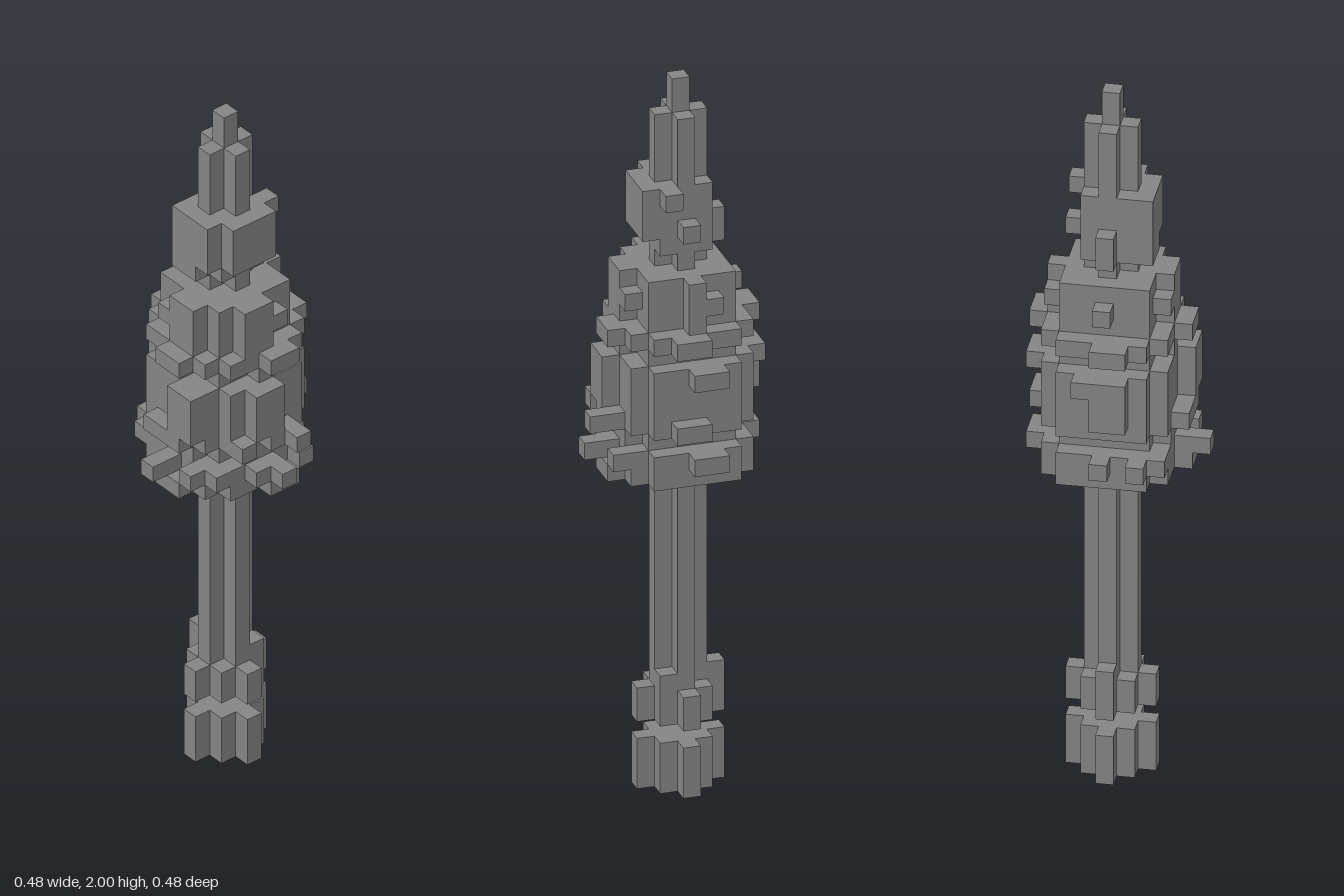
import * as THREE from 'three';

const U = 2 / 42; // cube size

export function createModel() {
  const model = new THREE.Group();
  model.name = 'cubeTorch';
  const stone = new THREE.MeshStandardMaterial({ color: 0x858585 });
  stone.name = 'stoneGrey';

  const filled = new Map(); // cell key -> part name
  const key = (x, y, z) => `${x},${y},${z}`;
  const add = (part, x, y, z) => filled.set(key(x, y, z), part);

  // Round layers: radius squared r2, limited to x0..x1 and z0..z1, plus single extra cells
  function disc(part, from, to, r2, [x0, x1, z0, z1] = [-5, 5, -5, 5], extra = []) {
    for (let y = from; y <= to; y++) {
      for (let x = x0; x <= x1; x++)
        for (let z = z0; z <= z1; z++) if (x * x + z * z <= r2) add(part, x, y, z);
      for (const [x, z] of extra) add(part, x, y, z);
    }
  }

  // Foot and collar
  disc('foot', 0, 2, 4);
  disc('collar', 4, 5, 4);
  disc('collar', 6, 6, 1, undefined, [[-2, 0], [1, -1]]);

  // Shaft
  disc('shaft', 7, 18, 1);

  // Wide ragged head
  disc('head', 19, 19, 13, [-3, 3, -3, 3], [[4, -1], [4, 0], [0, 4], [1, 4], [3, -2]]);
  disc('head', 20, 20, 13, undefined,
    [[-4, 0], [-4, 2], [-3, 3], [4, -2], [4, 1], [4, 0], [5, 0], [0, 4], [0, 5], [2, 4], [3, 3], [0, -4], [-1, -4]]);
  disc('head', 21, 21, 10, [-2, 3, -2, 3]);
  disc('head', 22, 22, 13, [-3, 3, -3, 3],
    [[4, 0], [4, -1], [5, -1], [4, 2], [0, 4], [-1, 4], [1, 4], [0, -4], [1, -4]]);
  disc('head', 23, 25, 13, [-3, 3, -3, 3], [[-4, 0], [-4, 1], [4, 0], [4, 1], [1, 4], [2, 4]]);
  disc('head', 25, 25, 0, undefined, [[0, -4], [-1, -4], [-4, -1]]);
  disc('head', 26, 26, 8, undefined, [[3, 0], [0, 3]]);
  disc('head', 27, 27, 13, undefined, [[-4, 0], [-4, 1], [4, 0], [4, -1], [0, 4], [1, 4], [0, -4], [1, -4]]);
  disc('head', 28, 30, 8, undefined, [[3, 0], [3, 1], [0, 3], [1, 3], [0, -3]]);
  disc('head', 29, 29, 0, undefined, [[-3, 0], [3, -1], [-1, 3], [-1, -3]]);

  // Neck and small upper block
  disc('neck', 31, 31, 1);
  disc('upperBlock', 32, 32, 2, undefined, [[-2, 0], [0, 2], [-1, 2]]);
  disc('upperBlock', 33, 35, 5, [-1, 2, -1, 2]);
  disc('upperBlock', 33, 33, 0, undefined, [[-2, 0], [0, -2]]);
  disc('upperBlock', 35, 35, 0, undefined, [[1, -2]]);

  // Spire and tip
  disc('spire', 36, 39, 1);
  disc('tip', 40, 41, 0);

  // Outer faces only: normal, then two in-plane axes with a x b = normal
  const sides = [
    [[1, 0, 0], [0, 1, 0], [0, 0, 1]], [[-1, 0, 0], [0, 0, 1], [0, 1, 0]],
    [[0, 1, 0], [0, 0, 1], [1, 0, 0]], [[0, -1, 0], [1, 0, 0], [0, 0, 1]],
    [[0, 0, 1], [1, 0, 0], [0, 1, 0]], [[0, 0, -1], [0, 1, 0], [1, 0, 0]],
  ];
  const corners = [[-1, -1], [1, -1], [1, 1], [-1, -1], [1, 1], [-1, 1]];
  const parts = {};
  for (const [cell, part] of filled) {
    const [x, y, z] = cell.split(',').map(Number);
    const out = (parts[part] ??= []);
    const centre = [x - 0.5, y + 0.5, z - 0.5];
    for (const [n, a, b] of sides) {
      if (filled.has(key(x + n[0], y + n[1], z + n[2]))) continue;
      for (const [s, t] of corners)
        for (let i = 0; i < 3; i++) out.push((centre[i] + (n[i] + a[i] * s + b[i] * t) / 2) * U);
    }
  }
  for (const [name, positions] of Object.entries(parts)) {
    const geometry = new THREE.BufferGeometry();
    geometry.setAttribute('position', new THREE.Float32BufferAttribute(positions, 3));
    geometry.computeVertexNormals();
    const mesh = new THREE.Mesh(geometry, stone);
    mesh.name = name;
    model.add(mesh);
  }
  return model;
}
